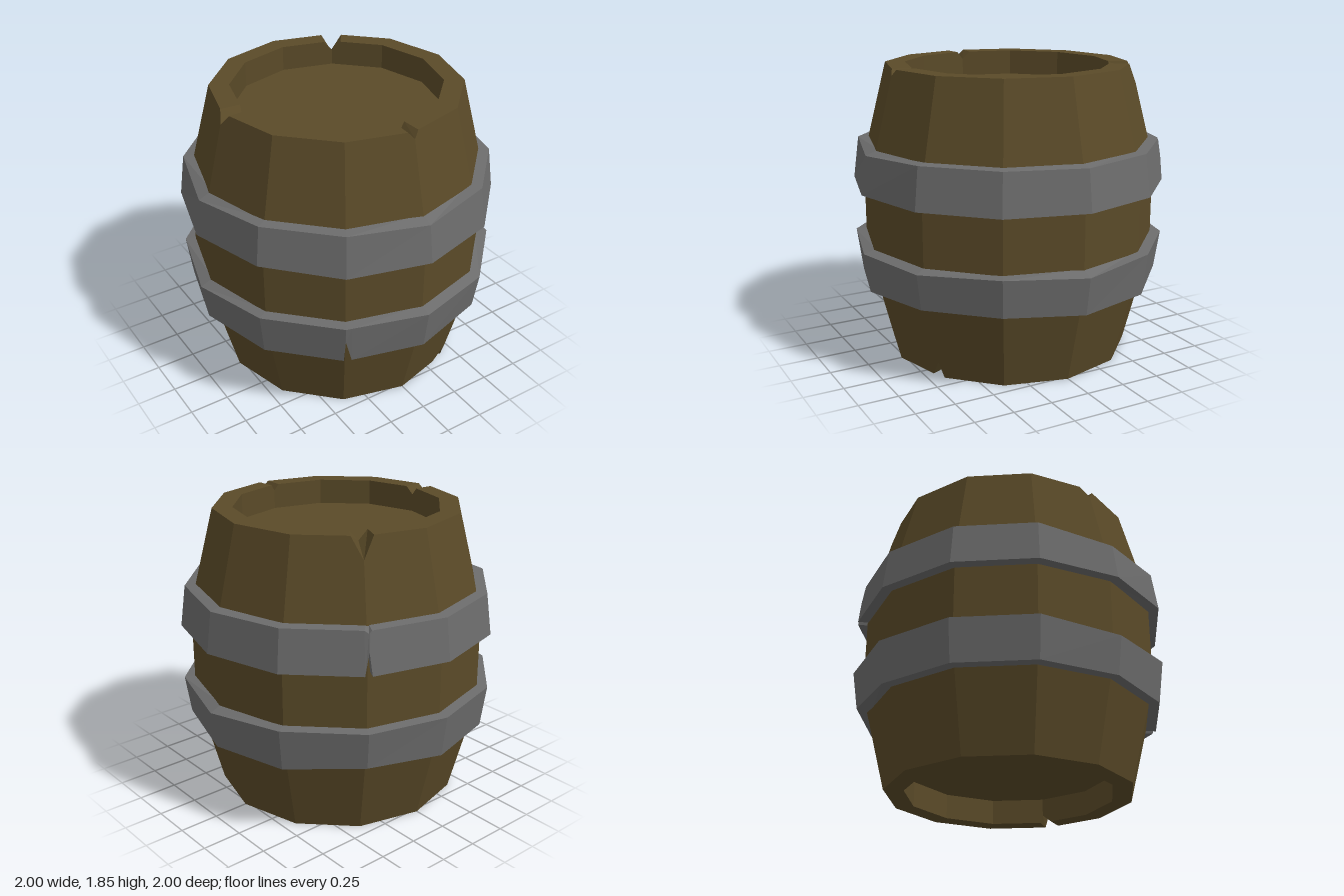
import * as THREE from 'three';

const SIDES = 12, STEP = 360 / SIDES, HEIGHT = 1.85;
const RIM = 0.775, INNER = 0.65, BELLY = 0.933, BEND = 0.62, RECESS = 0.16;
const SLOPE = (BELLY - RIM) / BEND;
const rad = THREE.MathUtils.degToRad;

// radius factor that keeps in-between angles on the flat sides
const flat = (deg) => {
  const off = (((deg % STEP) + STEP) % STEP) - STEP / 2;
  return Math.cos(rad(STEP / 2)) / Math.cos(rad(off));
};

// corner columns, plus one on either side of each notched corner
function makeColumns(notches) {
  const columns = [];
  for (let k = 0; k < SIDES; k++) {
    const notch = notches.find((n) => n.k === k);
    const deg = k * STEP;
    if (notch) columns.push({ deg: deg - notch.before, k: -1 });
    columns.push({ deg, k, notch });
    if (notch) columns.push({ deg: deg + notch.after, k: -1 });
  }
  return columns.sort((a, b) => a.deg - b.deg);
}

// skin around the y axis; profile(column) gives [radius, height] pairs
function loft(columns, profile) {
  const rings = columns.map((c) => profile(c).map(([r, y]) => {
    const R = r * flat(c.deg);
    return new THREE.Vector3(R * Math.sin(rad(c.deg)), y, R * Math.cos(rad(c.deg)));
  }));
  const pos = [];
  const tri = (a, b, c) => {
    if (a.distanceTo(b) < 1e-6 || b.distanceTo(c) < 1e-6 || c.distanceTo(a) < 1e-6) return;
    for (const p of [a, b, c]) pos.push(p.x, p.y, p.z);
  };
  rings.forEach((A, i) => {
    const B = rings[(i + 1) % rings.length];
    for (let j = 0; j < A.length - 1; j++) {
      tri(A[j], B[j], B[j + 1]);
      tri(A[j], B[j + 1], A[j + 1]);
    }
  });
  const geo = new THREE.BufferGeometry();
  geo.setAttribute('position', new THREE.Float32BufferAttribute(pos, 3));
  geo.computeVertexNormals();
  return geo;
}

function addMesh(group, name, geometry, color) {
  const material = new THREE.MeshStandardMaterial({ color, flatShading: true });
  const mesh = new THREE.Mesh(geometry, material);
  mesh.name = name;
  group.add(mesh);
}

// wooden body with recessed ends and chipped rims
function barrelGeometry() {
  const columns = makeColumns([
    { k: 0, before: 2.6, after: 2.6, top: [0.04, 0.04] },
    { k: 5, before: 5, after: 5, top: [0.13, 0.06] },
    { k: 9, before: 4.2, after: 4, top: [0.07, 0.05] },
    { k: 1, before: 5.5, after: 1.5, bottom: [0.11, 0.05] },
  ]);
  return loft(columns, ({ notch }) => {
    const [to, ti] = notch?.top ?? [0, 0];
    const [bo, bi] = notch?.bottom ?? [0, 0];
    return [
      [0, RECESS], [INNER, RECESS], [INNER, bi], [RIM + SLOPE * bo, bo],
      [BELLY, BEND], [BELLY, HEIGHT - BEND],
      [RIM + SLOPE * to, HEIGHT - to], [INNER, HEIGHT - ti],
      [INNER, HEIGHT - RECESS], [0, HEIGHT - RECESS],
    ];
  });
}

// metal hoop with dented edges and one crack in its lower edge
function hoopGeometry({ y0, y1, r0, r1, in0, in1, drops, lifts, crack }) {
  return loft(makeColumns([crack]), ({ k, notch }) => {
    const cut = notch ? notch.height : 0;
    const outerR = r0 + (r1 - r0) * cut / (y1 - y0);
    const outerLow = [outerR, y0 + (cut || (lifts[k] ?? 0))];
    return [
      outerLow, [r1, y1 - (drops[k] ?? 0.008)],
      [in1, y1], [in0, y0 + cut], outerLow,
    ];
  });
}

export function createModel() {
  const group = new THREE.Group();
  group.name = 'barrel';
  addMesh(group, 'woodenBody', barrelGeometry(), 0x5a4a28);
  addMesh(group, 'upperHoop', hoopGeometry({
    y0: 1.105, y1: 1.375, r0: 1, r1: 0.965, in0: 0.92, in1: 0.88,
    drops: { 0: 0.03, 3: 0.015, 5: 0.025, 9: 0.04 }, lifts: { 10: 0.015 },
    crack: { k: 5, before: 1.5, after: 1, height: 0.14 },
  }), 0x6c6c6c);
  addMesh(group, 'lowerHoop', hoopGeometry({
    y0: 0.482, y1: 0.755, r0: 0.965, r1: 1, in0: 0.88, in1: 0.92,
    drops: { 0: 0.022, 1: 0.025, 3: 0.035, 9: 0.035 }, lifts: { 1: 0.02, 2: 0.025, 5: 0.028 },
    crack: { k: 11, before: 0.6, after: 2.2, height: 0.16 },
  }), 0x6c6c6c);
  return group;
}
